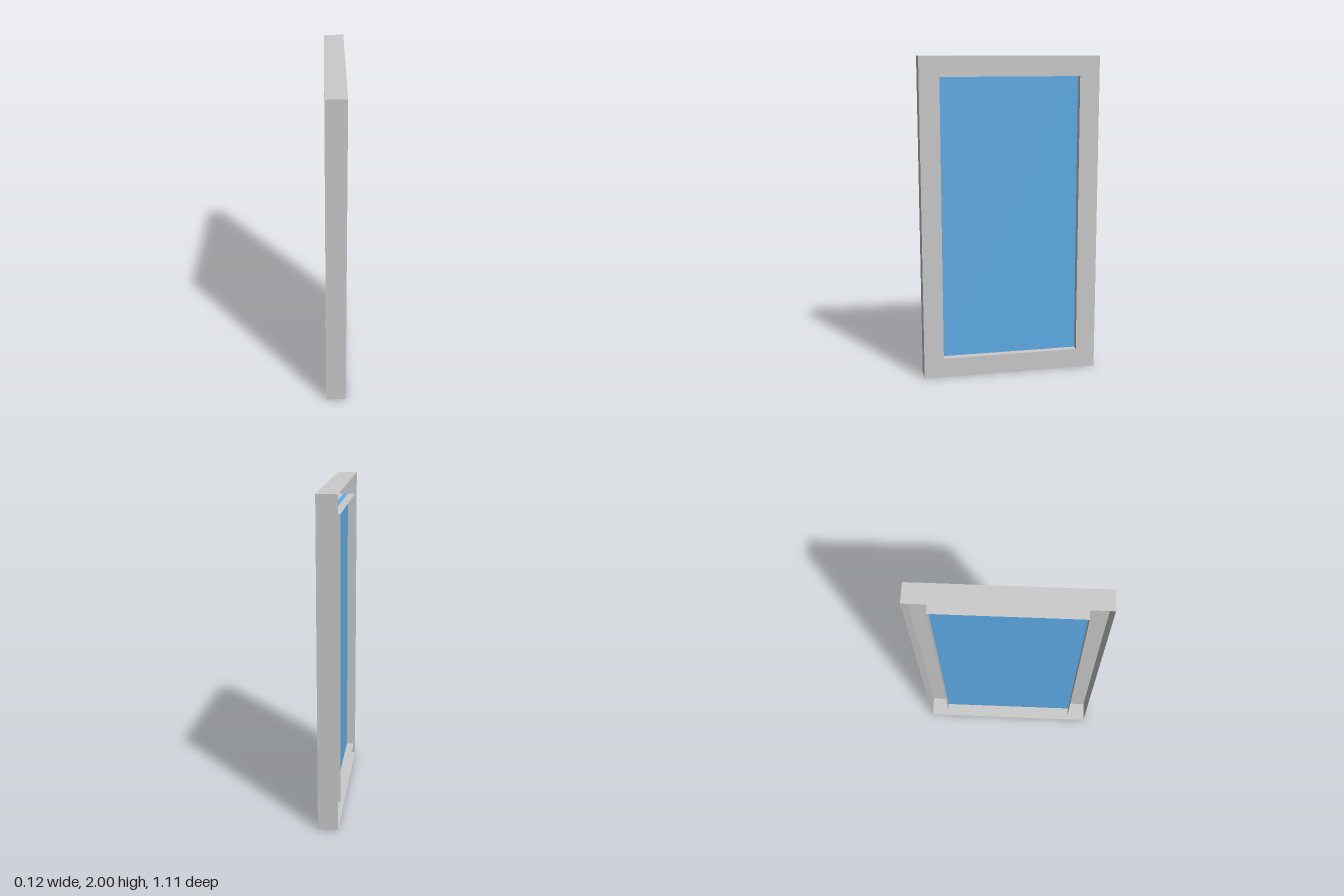
import * as THREE from 'three';

const DEPTH = 0.122, HALF = DEPTH / 2;      // thickness along x
const OUTER = { w: 1.11, h: 2 };            // outer size (z, y)
const INNER = { w: 0.864, h: 1.754 };       // opening size (z, y)
const MID_Y = 1;

const frameMat = new THREE.MeshStandardMaterial({ color: 0xcccccc, side: THREE.DoubleSide, flatShading: true });
const glassMat = new THREE.MeshStandardMaterial({ color: 0x5faeea });

function addMesh(parent, name, geometry, material) {
  const mesh = new THREE.Mesh(geometry, material);
  mesh.name = name;
  parent.add(mesh);
  return mesh;
}

// Four thin walls around a rectangle, open towards +x and -x
function makeSleeve(name, { w, h }) {
  const sleeve = new THREE.Group();
  sleeve.name = name;
  for (const s of [1, -1]) {
    const level = addMesh(sleeve, s > 0 ? 'topWall' : 'bottomWall', new THREE.PlaneGeometry(DEPTH, w), frameMat);
    level.rotation.x = -s * Math.PI / 2;
    level.position.y = s * h / 2;
    const side = addMesh(sleeve, s > 0 ? 'frontWall' : 'backWall', new THREE.PlaneGeometry(DEPTH, h), frameMat);
    side.rotation.y = s > 0 ? 0 : Math.PI;
    side.position.z = s * w / 2;
  }
  sleeve.position.y = MID_Y;
  return sleeve;
}

function rectangle(path, { w, h }) {
  path.moveTo(-w / 2, -h / 2);
  path.lineTo(w / 2, -h / 2);
  path.lineTo(w / 2, h / 2);
  path.lineTo(-w / 2, h / 2);
  path.closePath();
  return path;
}

export function createModel() {
  const model = new THREE.Group();
  model.name = 'window';

  // Hollow frame: outer walls and opening walls
  model.add(makeSleeve('outerWalls', OUTER), makeSleeve('openingWalls', INNER));

  // Frame face closes the +x side only; the -x side stays open
  const outline = rectangle(new THREE.Shape(), OUTER);
  outline.holes.push(rectangle(new THREE.Path(), INNER));
  const face = addMesh(model, 'frameFace', new THREE.ShapeGeometry(outline).rotateY(Math.PI / 2), frameMat);
  face.position.set(HALF, MID_Y, 0);

  // Glass pane set midway in the opening
  const pane = addMesh(model, 'glassPane', new THREE.BoxGeometry(0.03, INNER.h, INNER.w), glassMat);
  pane.position.y = MID_Y;

  return model;
}
